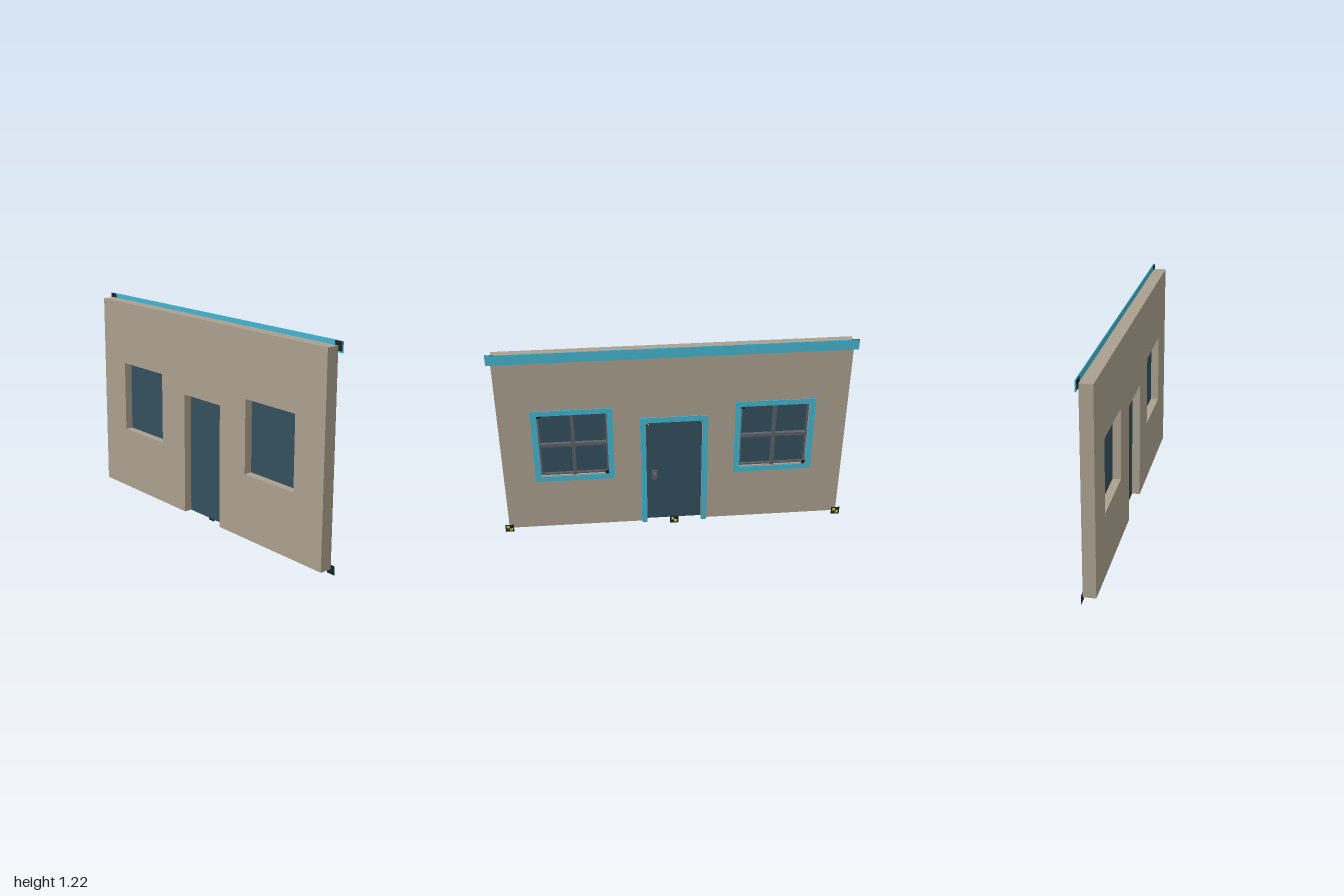
import * as THREE from 'three';

const mat = (color) => new THREE.MeshStandardMaterial({ color, side: THREE.DoubleSide });

// Openings as [x0, x1, y0, y1]
const BASE = 0.027, TOP = 1.195, HALF = 0.975;
const WINDOWS = [[-0.76, -0.375, 0.4, 0.82], [0.375, 0.76, 0.4, 0.82]];
const DOOR = [-0.16, 0.16, BASE, 0.74];

export function createModel() {
  const model = new THREE.Group();
  const stucco = mat(0xaaa08f), blue = mat(0x45b5d0), glass = mat(0x344f5e);
  const metal = mat(0x5a6068), black = mat(0x1c2226), yellow = mat(0xc8d040);

  const add = (name, geometry, material, parent = model) => {
    const mesh = new THREE.Mesh(geometry, material);
    mesh.name = name;
    parent.add(mesh);
    return mesh;
  };
  // Box given by its limits
  const slab = (name, x0, x1, y0, y1, z0, z1, material, parent) => {
    const g = new THREE.BoxGeometry(x1 - x0, y1 - y0, z1 - z0);
    g.translate((x0 + x1) / 2, (y0 + y1) / 2, (z0 + z1) / 2);
    return add(name, g, material, parent);
  };
  const rectPath = ([x0, x1, y0, y1], Type) => {
    const p = new Type();
    p.moveTo(x0, y0).lineTo(x1, y0).lineTo(x1, y1).lineTo(x0, y1).closePath();
    return p;
  };
  const extrude = (shape, z0, z1) =>
    new THREE.ExtrudeGeometry(shape, { depth: z1 - z0, bevelEnabled: false }).translate(0, 0, z0);

  // Wall panel with a door notch and two window holes
  const wall = new THREE.Shape();
  wall.moveTo(-HALF, BASE).lineTo(DOOR[0], BASE).lineTo(DOOR[0], DOOR[3]);
  wall.lineTo(DOOR[1], DOOR[3]).lineTo(DOOR[1], BASE).lineTo(HALF, BASE);
  wall.lineTo(HALF, TOP).lineTo(-HALF, TOP).closePath();
  WINDOWS.forEach((w) => wall.holes.push(rectPath(w, THREE.Path)));
  add('wall', extrude(wall, -0.025, 0.042), stucco);

  // Siding courses on the back, cut around the openings
  const siding = new THREE.Group();
  siding.name = 'siding';
  model.add(siding);
  const openings = [WINDOWS[0], DOOR, WINDOWS[1]];
  const rise = 0.156;
  const levels = [TOP, ...openings.flatMap((o) => [o[2], o[3]])];
  for (let y = BASE; y < TOP - 0.1; y += rise) levels.push(y);
  const ys = [...new Set(levels)].sort((a, b) => a - b);
  for (let i = 0; i + 1 < ys.length; i++) {
    const middle = (ys[i] + ys[i + 1]) / 2;
    let x = -HALF;
    for (const o of openings) {
      if (middle < o[2] || middle > o[3]) continue;
      slab('board', x, o[0], ys[i], ys[i + 1], -0.029, -0.025, stucco, siding);
      x = o[1];
    }
    slab('board', x, HALF, ys[i], ys[i + 1], -0.029, -0.025, stucco, siding);
  }

  // Flat trim surround with a matching opening
  const surround = (name, [x0, x1, y0, y1], m, bottom, parent) => {
    const s = rectPath([x0 - m, x1 + m, y0 - bottom, y1 + m], THREE.Shape);
    s.holes.push(rectPath([x0, x1, y0, y1], THREE.Path));
    add(name, extrude(s, -0.04, -0.036), blue, parent);
  };

  // Windows: pane, crossed bars, inner frame and surround
  WINDOWS.forEach((w) => {
    const [x0, x1, y0, y1] = w;
    const cx = (x0 + x1) / 2, cy = (y0 + y1) / 2;
    const group = new THREE.Group();
    group.name = 'window';
    model.add(group);
    slab('pane', x0, x1, y0, y1, -0.008, -0.004, glass, group);
    slab('uprightBar', cx - 0.01, cx + 0.01, y0, y1, -0.028, -0.008, metal, group);
    slab('crossBar', x0, x1, cy - 0.01, cy + 0.01, -0.028, -0.008, metal, group);
    const frame = rectPath(w, THREE.Shape);
    frame.holes.push(rectPath([x0 + 0.01, x1 - 0.01, y0 + 0.01, y1 - 0.01], THREE.Path));
    add('innerFrame', extrude(frame, -0.02, -0.008), metal, group);
    surround('windowTrim', w, 0.033, 0.033, group);
    // Small corner plates
    slab('cornerPlate', x1 - 0.02, x1 + 0.004, y1 - 0.02, y1 + 0.004, -0.031, -0.029, black, group);
    slab('cornerPlate', x0 - 0.004, x0 + 0.02, y0 - 0.004, y0 + 0.02, -0.031, -0.029, black, group);
  });

  // Door: leaf, handle and three-sided trim
  const door = new THREE.Group();
  door.name = 'door';
  model.add(door);
  slab('doorLeaf', ...DOOR, -0.008, -0.004, glass, door);
  slab('handlePlate', 0.095, 0.13, 0.33, 0.385, -0.016, -0.008, metal, door);
  slab('handleGrip', 0.105, 0.12, 0.34, 0.375, -0.042, -0.016, metal, door);
  for (const s of [-1, 1]) {
    slab('doorSideTrim', s * 0.175 - 0.016, s * 0.175 + 0.016, 0.022, DOOR[3], -0.04, -0.036, blue, door);
  }
  slab('doorHeadTrim', -0.191, 0.191, DOOR[3], 0.775, -0.04, -0.036, blue, door);

  // Cornice strip along the top
  slab('cornice', -1, 1, 1.16, 1.22, -0.04, -0.036, blue);

  // Square marker plates with a two-tone rear face
  const marker = (x, y, r) => {
    const group = new THREE.Group();
    group.name = 'marker';
    group.position.set(x, y, -0.031);
    model.add(group);
    slab('markerPlate', -r, r, -r, r, -0.001, 0.001, black, group);
    for (const s of [-1, 1]) {
      const a = s * r * 0.35, h = r * 0.35;
      slab('markerSquare', a - h, a + h, a - h, a + h, -0.0025, -0.001, yellow, group);
    }
  };
  for (const s of [-1, 1]) {
    marker(s * 0.975, 0.025, 0.025);
    marker(s * 0.975, 1.194, 0.025);
    marker(s * 0.15, 0.73, 0.012);
  }
  marker(0, 0.025, 0.025);

  return model;
}
